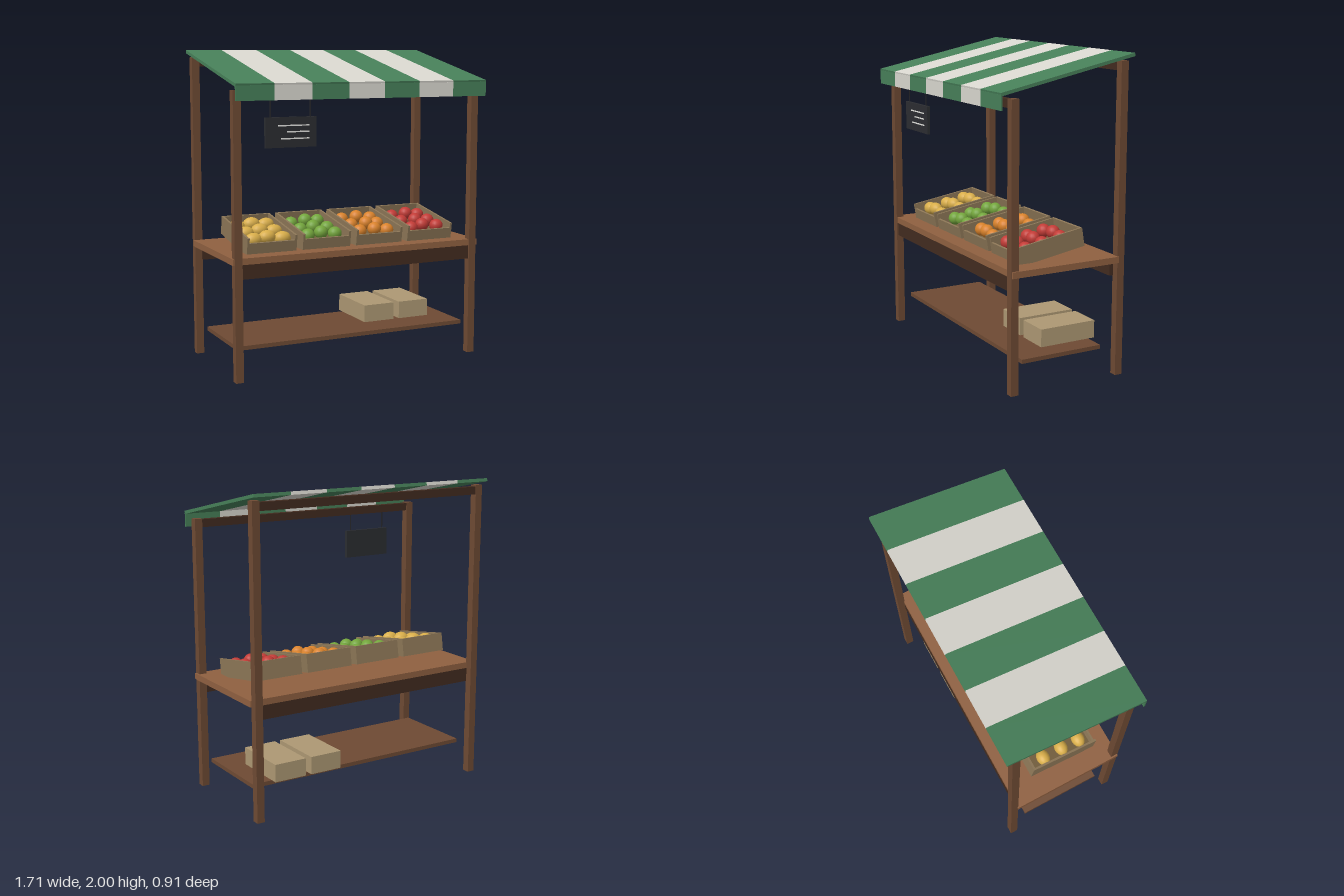
import * as THREE from 'three';

const paint = (color) => new THREE.MeshStandardMaterial({ color });
const wood = paint(0x6e4a33), darkWood = paint(0x422b1f), topWood = paint(0x8f6040);
const crateWood = paint(0x8c7656), crateFloor = paint(0x75603f), carton = paint(0xad9873);
const green = paint(0x478059), white = paint(0xdad8d0);
const slate = paint(0x2b2d31), chalk = paint(0xe4e4e0), wire = paint(0x26262a);

function box(parent, name, material, size, position) {
  const mesh = new THREE.Mesh(new THREE.BoxGeometry(...size), material);
  mesh.name = name;
  mesh.position.set(...position);
  parent.add(mesh);
  return mesh;
}

function group(parent, name) {
  const g = new THREE.Group();
  g.name = name;
  parent.add(g);
  return g;
}

// Small seeded generator, returning -1..1
function seeded(seed) {
  let s = seed;
  return () => {
    s = (s * 16807) % 2147483647;
    return (s / 2147483647) * 2 - 1;
  };
}

// Open crate with a low front wall, filled with three rows of fruit
function buildCrate(parent, name, fruitColor, stretch, seed) {
  const crate = group(parent, name);
  const w = 0.33, h = 0.118, d = 0.47, t = 0.014, front = 0.085;
  box(crate, 'crateFloor', crateFloor, [w - 2 * t, 0.03, d - 2 * t], [0, -h / 2 + 0.015, 0]);
  box(crate, 'crateBack', crateWood, [w - 2 * t, h, t], [0, 0, -d / 2 + t / 2]);
  box(crate, 'crateFront', crateWood, [w - 2 * t, front, t], [0, (front - h) / 2, d / 2 - t / 2]);
  for (const side of [-1, 1]) {
    box(crate, 'crateSide', crateWood, [t, h, d], [side * (w - t) / 2, 0, 0]);
  }
  const random = seeded(seed);
  const geometry = new THREE.SphereGeometry(0.043, 16, 12);
  const material = paint(fruitColor);
  for (let row = -1; row <= 1; row++) {
    for (let col = -1; col <= 1; col++) {
      const fruit = new THREE.Mesh(geometry, material);
      fruit.name = 'fruit';
      fruit.position.set(
        col * 0.096 + random() * 0.006,
        0.018 + (col === 0 ? 0.012 : 0),
        0.012 + row * 0.133 + random() * 0.012
      );
      fruit.scale.set(stretch, 1, 1);
      crate.add(fruit);
    }
  }
  return crate;
}

export function createModel() {
  const stall = new THREE.Group();
  stall.name = 'marketStall';

  // Frame: shorter front posts, taller rear posts, roof beams
  const frame = group(stall, 'frame');
  for (const side of [-1, 1]) {
    box(frame, 'frontPost', wood, [0.05, 1.77, 0.05], [side * 0.82, 0.885, 0.355]);
    box(frame, 'rearPost', wood, [0.05, 1.955, 0.05], [side * 0.82, 0.9775, -0.39]);
  }
  box(frame, 'frontBeam', darkWood, [1.6, 0.05, 0.04], [0, 1.74, 0.355]);
  box(frame, 'rearBeam', darkWood, [1.6, 0.05, 0.04], [0, 1.92, -0.39]);

  // Counter with aprons, and the lower shelf
  const counter = group(stall, 'counter');
  box(counter, 'counterTop', topWood, [1.71, 0.04, 0.745], [0, 0.746, 0.0025]);
  for (const z of [0.355, -0.355]) {
    box(counter, 'apron', darkWood, [1.6, 0.09, 0.03], [0, 0.681, z]);
  }
  box(stall, 'lowerShelf', wood, [1.6, 0.026, 0.56], [0, 0.187, 0]);
  for (const x of [0.295, 0.555]) {
    box(stall, 'storageBox', carton, [0.22, 0.114, 0.39], [x, 0.257, -0.13]);
  }

  // Tilted fruit crates
  const fruits = [
    ['yellowFruitCrate', 0xd9ae4a, 1.3],
    ['greenFruitCrate', 0x73a53c, 1.06],
    ['orangeFruitCrate', 0xd9822b, 1.06],
    ['redFruitCrate', 0xc23b36, 1.06],
  ];
  fruits.forEach(([name, color, stretch], i) => {
    const crate = buildCrate(stall, name, color, stretch, 101 + i * 977);
    crate.position.set((i - 1.5) * 0.372, 0.846, 0.038);
    crate.rotation.x = 0.163;
  });

  // Striped sloping awning with a hanging valance
  const awning = group(stall, 'awning');
  const stripes = 7, stripe = 1.71 / stripes;
  for (let i = 0; i < stripes; i++) {
    const x = (i - (stripes - 1) / 2) * stripe;
    const cloth = i % 2 ? white : green;
    const panel = box(awning, 'awningStripe', cloth, [stripe, 0.02, 0.925], [x, 1.8955, 0]);
    panel.rotation.x = 0.206;
    box(awning, 'valanceStripe', cloth, [stripe, 0.09, 0.01], [x, 1.755, 0.449]);
  }

  // Chalkboard on two wires
  const sign = group(stall, 'chalkboard');
  sign.position.set(-0.468, 1.512, 0.355);
  box(sign, 'board', slate, [0.334, 0.184, 0.02], [0, 0, 0]);
  for (const side of [-1, 1]) {
    box(sign, 'wire', wire, [0.006, 0.13, 0.006], [side * 0.131, 0.155, 0]);
  }
  [[0.205, 0.041], [0.148, 0.003], [0.186, -0.038]].forEach(([length, y]) => {
    box(sign, 'chalkLine', chalk, [length, 0.008, 0.003], [0.12 - length / 2, y, 0.011]);
  });

  return stall;
}
